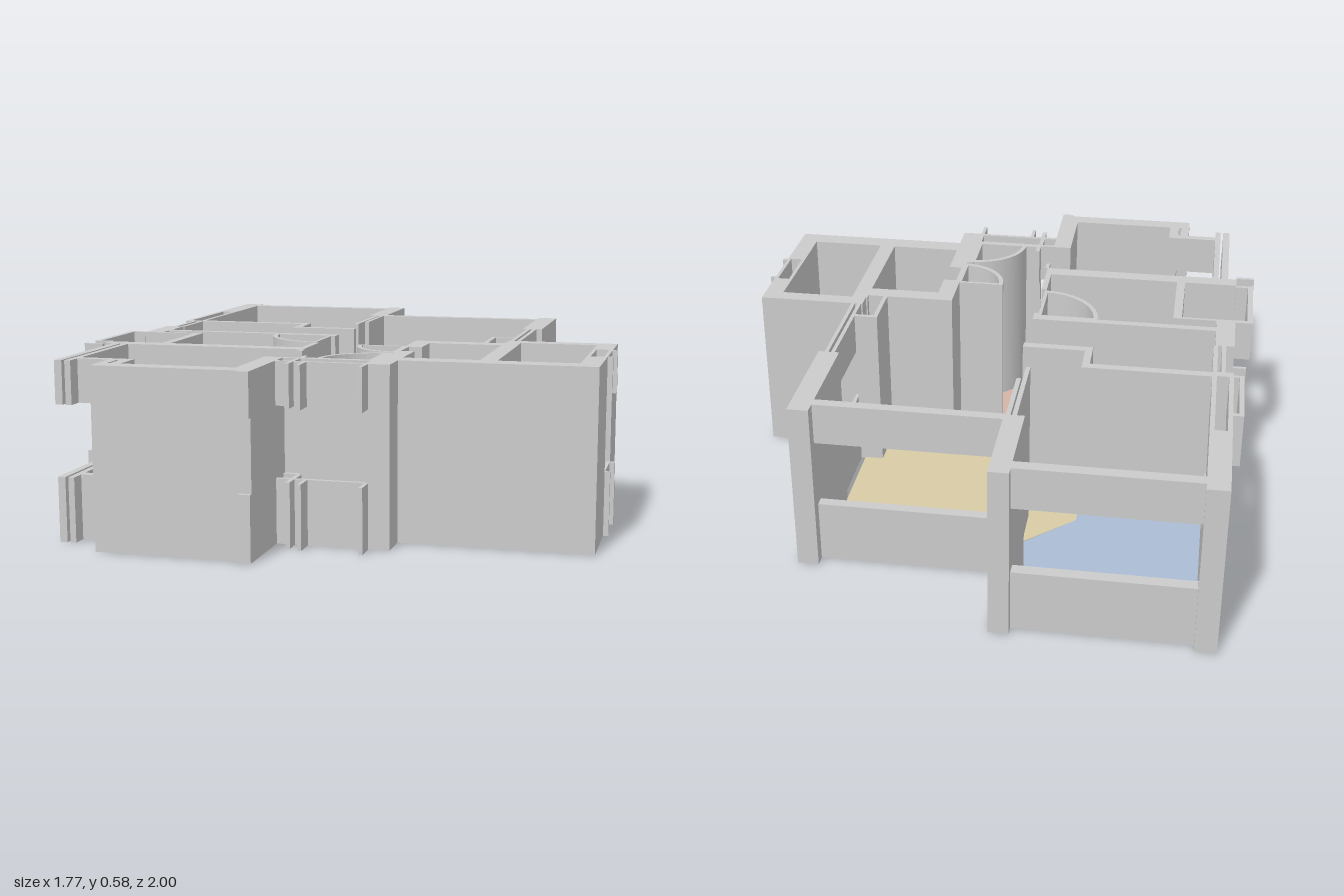
import * as THREE from 'three';

const H = 0.58, SILL = 0.21, HEAD = 0.44;
const grey = new THREE.MeshStandardMaterial({ color: 0xcccccc });

export function createModel() {
  const model = new THREE.Group();

  function group(name) {
    const g = new THREE.Group();
    g.name = name;
    model.add(g);
    return g;
  }
  // Upright block from plan limits x0..x1, z0..z1
  function block(parent, name, [x0, x1, z0, z1], y0 = 0, y1 = H) {
    const m = new THREE.Mesh(new THREE.BoxGeometry(x1 - x0, y1 - y0, z1 - z0), grey);
    m.position.set((x0 + x1) / 2, (y0 + y1) / 2, (z0 + z1) / 2);
    m.name = name;
    parent.add(m);
  }
  // Raises a plan shape (drawn with -z as y)
  function raise(parent, name, shape, height, material) {
    const geo = new THREE.ExtrudeGeometry(shape, { depth: height, bevelEnabled: false, curveSegments: 12 });
    geo.rotateX(-Math.PI / 2);
    const m = new THREE.Mesh(geo, material);
    m.name = name;
    parent.add(m);
  }

  // Full-height outer walls and corner piers
  const outer = group('outerWalls');
  [
    [-0.82, -0.75, -1, -0.66], [-0.185, -0.12, -1, -0.66],
    [0.485, 0.555, -0.73, -0.33],
    [-0.82, -0.755, -0.09, 0.1],
    [-0.185, -0.12, 0.66, 0.985], [-0.63, -0.185, 0.925, 0.985],
    [-0.63, -0.59, 0.925, 0.98], [-0.59, -0.555, 0.82, 0.925],
    [0.495, 0.865, 0.05, 0.105], [0.185, 0.865, 0.575, 0.645],
    [0.80, 0.865, 0.105, 0.22], [0.80, 0.865, 0.40, 0.575],
    [0.185, 0.495, 0.125, 0.185],
    [0.185, 0.245, 0.645, 0.75],
    [-0.82, -0.755, -0.31, -0.28],
  ].forEach(r => block(outer, 'outerWall', r));

  // Full-height partitions
  const inner = group('partitions');
  [
    [-0.16, -0.145, -0.66, -0.34], [-0.14, -0.125, -0.66, -0.42],
    [-0.755, -0.325, -0.315, -0.285], [-0.35, -0.325, -0.285, -0.165],
    [-0.325, -0.115, -0.195, -0.165],
    [-0.755, -0.12, 0.02, 0.048], [-0.82, -0.12, 0.405, 0.46],
    [-0.635, -0.605, 0.1, 0.405], [-0.14, -0.12, 0.27, 0.405],
    [-0.14, -0.12, 0.048, 0.07], [-0.125, -0.11, 0.46, 0.5],
    [0.49, 0.545, 0.105, 0.575],
    [0.185, 0.245, 0.185, 0.3], [0.185, 0.245, 0.415, 0.575],
    [0.185, 0.2, 0.3, 0.415],
    [0.42, 0.435, -0.05, 0.125], [0.435, 0.5, -0.05, -0.035],
    [-0.07, 0.165, 0.65, 0.675],
    [0.165, 0.185, 0.47, 0.75],
  ].forEach(r => block(inner, 'partition', r));

  // Windows: low parapet and lintel with an open band between
  const windows = group('windows');
  [
    // back windows
    [-0.75, -0.185, -0.97, -0.93], [-0.12, 0.485, -0.69, -0.655],
    // left windows as paired skins
    [-0.82, -0.805, -0.66, -0.31], [-0.765, -0.75, -0.66, -0.31],
    [-0.792, -0.778, -0.28, -0.09], [-0.765, -0.75, -0.28, -0.09],
    [-0.79, -0.765, 0.46, 0.9], [-0.755, -0.735, 0.46, 0.9],
    // left balcony
    [-0.88, -0.862, 0.095, 0.405], [-0.862, -0.82, 0.095, 0.115],
    [-0.862, -0.82, 0.39, 0.405], [-0.82, -0.635, 0.1, 0.112],
    [-0.885, -0.82, 0.465, 0.48],
    // front left corner
    [-0.735, -0.59, 0.82, 0.85], [-0.63, -0.6, 0.85, 0.925],
    // right windows
    [0.5, 0.513, -0.33, 0.05], [0.522, 0.535, -0.33, 0.05],
    [0.80, 0.812, 0.22, 0.40], [0.853, 0.865, 0.22, 0.40],
    [0.865, 0.882, 0.225, 0.237], [0.865, 0.882, 0.385, 0.398],
    // front entrance bay
    [-0.07, 0.165, 0.735, 0.75], [-0.12, -0.07, 0.66, 0.675],
    [-0.12, -0.07, 0.735, 0.75], [-0.075, -0.06, 0.675, 0.8],
    [-0.03, -0.018, 0.75, 0.82], [0.165, 0.177, 0.75, 0.82],
    [-0.07, -0.055, 0.61, 0.65],
    [-0.16, -0.12, 0.985, 1],
  ].forEach(r => {
    block(windows, 'parapet', r, 0, SILL);
    block(windows, 'lintel', r, HEAD, H);
  });

  // Coloured room floors as [x, z] outlines
  const floors = group('floors');
  function floor(name, color, pts) {
    const shape = new THREE.Shape(pts.map(([x, z]) => new THREE.Vector2(x, -z)));
    raise(floors, name, shape, 0.004, new THREE.MeshStandardMaterial({ color }));
  }
  const rect = (x0, x1, z0, z1) => [[x0, z0], [x0, z1], [x1, z1], [x1, z0]];
  floor('bedroomFloor', 0xabbdd5, [
    [-0.75, -0.93], [-0.185, -0.93], [-0.185, -0.66], [-0.16, -0.66],
    [-0.16, -0.51], [-0.325, -0.35], [-0.325, -0.315], [-0.75, -0.315]]);
  floor('livingFloor', 0xd8cba6, [
    [-0.12, -0.655], [0.485, -0.655], [0.485, -0.05], [0.42, -0.05], [0.42, 0.125],
    [0.185, 0.125], [0.185, 0.29], [-0.01, 0.29], [-0.12, 0.19], [-0.12, 0.02],
    [-0.755, 0.02], [-0.755, -0.285], [-0.35, -0.285], [-0.35, -0.165],
    [-0.115, -0.165], [-0.115, -0.195], [-0.325, -0.195], [-0.325, -0.35], [-0.145, -0.52]]);
  floor('hallFloor', 0xd6b4a5, [
    [-0.725, 0.46], [-0.12, 0.46], [-0.12, 0.19], [-0.01, 0.29], [0.03, 0.29], [0.075, 0.4],
    [0.175, 0.465], [0.09, 0.495], [0.01, 0.57], [-0.01, 0.65], [-0.185, 0.66],
    [-0.185, 0.925], [-0.555, 0.925], [-0.555, 0.82], [-0.725, 0.82]]);
  floor('bathFloor', 0xa3c9c9, [
    [-0.605, 0.048], [-0.33, 0.048], [-0.31, 0.13], [-0.25, 0.21], [-0.14, 0.26],
    [-0.14, 0.405], [-0.605, 0.405]]);
  floor('balconyFloor', 0xb0b0b0, rect(-0.862, -0.635, 0.112, 0.405));
  floor('smallRoomFloor', 0xaaa8b3, rect(0.245, 0.49, 0.185, 0.575));
  floor('sideRoomFloor', 0xaaa8b3, rect(0.545, 0.80, 0.105, 0.575));
  floor('entranceFloor', 0xcbc6bb, rect(-0.06, 0.165, 0.675, 0.735));

  // Door swings: quarter-round screen, straight leaf and floor sector
  const doors = group('doorSwings');
  const T = 0.016;
  [
    // hinge x, hinge z, radius, start angle, jamb side
    [-0.135, 0.05, 0.21, Math.PI, 1],
    [0.19, 0.29, 0.165, Math.PI, 1],
    [0.17, 0.66, 0.185, Math.PI / 2, -1],
  ].forEach(([x, z, r, a, side]) => {
    const b = a + Math.PI / 2;
    const ring = new THREE.Shape();
    ring.absarc(x, -z, r, a, b, false);
    ring.absarc(x, -z, r - T, b, a, true);
    raise(doors, 'curvedScreen', ring, H, grey);

    const sector = new THREE.Shape();
    sector.moveTo(x, -z);
    sector.absarc(x, -z, r - T, a, b, false);
    raise(floors, 'swingFloor', sector, 0.003, new THREE.MeshStandardMaterial({ color: 0xcbc6bb }));

    block(doors, 'doorLeaf', [x - r, x, z - 0.006, z + 0.006]);
    const far = z + side * r;
    block(doors, 'doorJamb', [x - 0.012, x, Math.min(z, far), Math.max(z, far)]);
  });

  return model;
}
